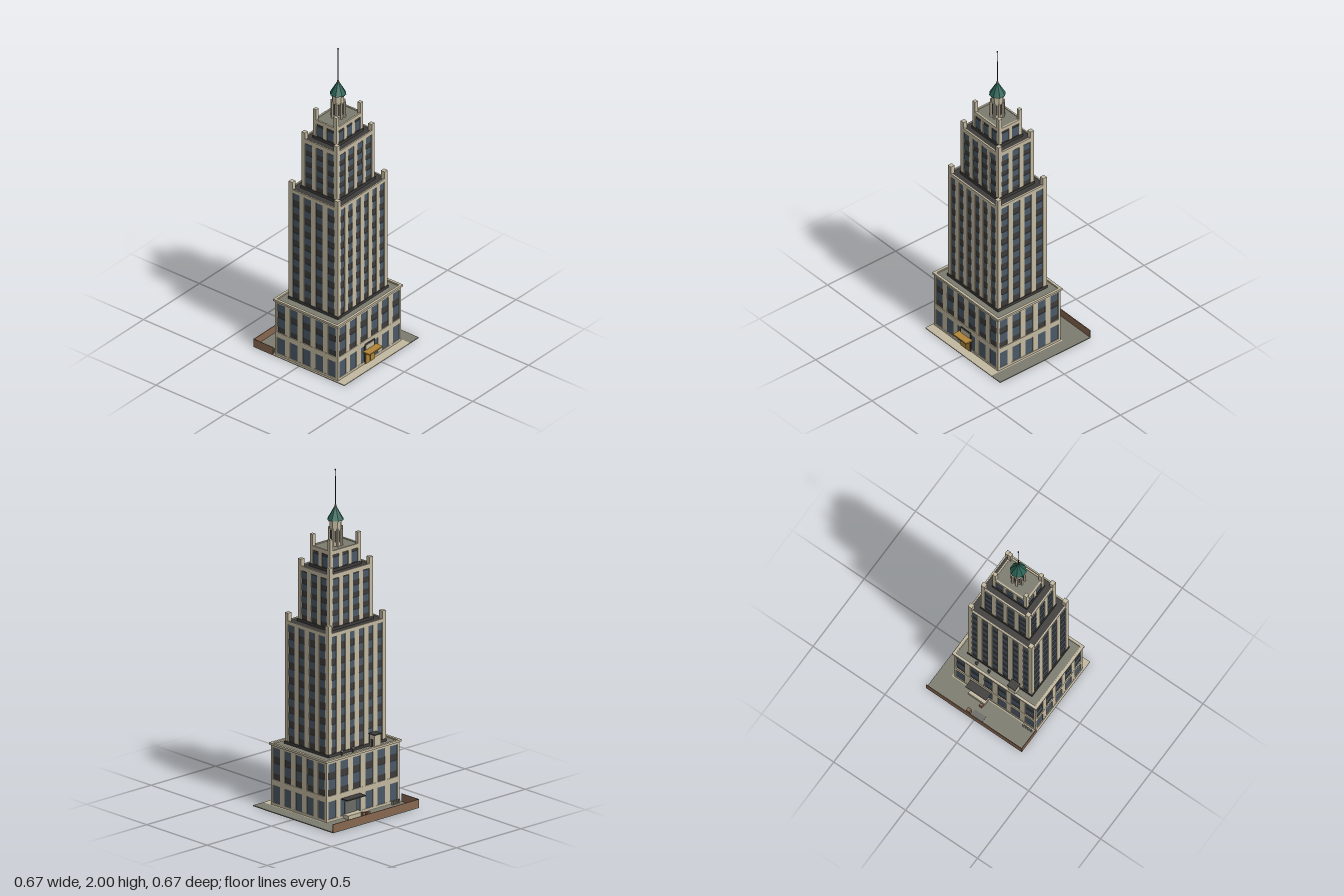
import * as THREE from 'three';
import { mergeGeometries } from 'three/addons/utils/BufferGeometryUtils.js';

const mat = (name, color) => {
  const m = new THREE.MeshStandardMaterial({ color });
  m.name = name;
  return m;
};

export function createModel() {
  const stone = mat('limestone', 0xc2b8a0);
  const dark = mat('dark spandrel', 0x3d3c3b);
  const glass = mat('window glass', 0x4a5866);
  const gravel = mat('gravel grey', 0x7c7b6f);
  const copper = mat('green copper', 0x2c6457);
  const gold = mat('gold', 0xb08537);
  const brick = mat('brick', 0x86664f);
  const steel = mat('steel grey', 0x6a6a66);

  const model = new THREE.Group();
  model.name = 'setbackTower';

  const add = (parent, name, geo, material, x = 0, y = 0, z = 0) => {
    const m = new THREE.Mesh(geo, material);
    m.name = name;
    m.position.set(x, y, z);
    parent.add(m);
    return m;
  };
  // box geometry given by its limits
  const span = (x0, x1, y0, y1, z0, z1) =>
    new THREE.BoxGeometry(x1 - x0, y1 - y0, z1 - z0)
      .translate((x0 + x1) / 2, (y0 + y1) / 2, (z0 + z1) / 2);
  const block = (parent, name, material, ...limits) => add(parent, name, span(...limits), material);
  // rectangular ring: half sizes hx, hz, wall thickness t
  const ring = (hx, hz, t, y0, y1) => mergeGeometries([
    span(-hx, hx, y0, y1, hz - t, hz), span(-hx, hx, y0, y1, -hz, -hz + t),
    span(-hx, -hx + t, y0, y1, -hz + t, hz - t), span(hx - t, hx, y0, y1, -hz + t, hz - t),
  ]);

  // ---------- ground ----------
  block(model, 'sidewalk', stone, -0.333, 0.255, 0, 0.005, -0.19, 0.333);
  block(model, 'rearAlley', gravel, -0.333, 0.333, 0, 0.005, -0.333, -0.19);
  block(model, 'sideAlley', gravel, 0.255, 0.333, 0, 0.005, -0.19, 0.333);
  block(model, 'rearWall', brick, -0.333, 0.333, 0, 0.052, -0.333, -0.329);
  block(model, 'sideWall', brick, -0.333, -0.329, 0, 0.052, -0.329, -0.19);

  // ---------- tower ----------
  const tower = new THREE.Group();
  tower.name = 'tower';
  tower.position.set(-0.0385, 0, 0.0465);
  model.add(tower);

  const R = 0.006; // window recess
  // one storey block: recessed dark core, glass rows, mullions, corner piers, parapet
  function tier(name, o) {
    const g = new THREE.Group();
    g.name = name;
    tower.add(g);
    const { hx, hz, y0, y1, pier, band } = o;
    block(g, 'spandrelCore', dark, -hx + R, hx - R, y0, y1 - band, -hz + R, hz - R);
    const panes = [], mullions = [];
    for (let s = 0; s < 4; s++) {
      const [half, dist, n] = s % 2 ? [hz, hx, o.nz] : [hx, hz, o.nx];
      const inner = 2 * (half - pier);
      const w = (inner - (n - 1) * o.mullion) / n;
      for (let i = 0; i < n; i++) {
        const x0 = -half + pier + i * (w + o.mullion);
        for (const [a, b] of o.rows)
          panes.push(span(x0, x0 + w, a, b, dist - R, dist - R + 0.002).rotateY(s * Math.PI / 2));
        if (i < n - 1)
          mullions.push(span(x0 + w, x0 + w + o.mullion, y0, y1 - band, dist - R, dist - 0.001)
            .rotateY(s * Math.PI / 2));
      }
    }
    add(g, 'windows', mergeGeometries(panes), glass);
    add(g, 'mullions', mergeGeometries(mullions), stone);
    const piers = [];
    for (const sx of [-1, 1]) for (const sz of [-1, 1])
      piers.push(new THREE.BoxGeometry(pier, o.pierTop - y0, pier)
        .translate(sx * (hx - pier / 2), (o.pierTop + y0) / 2, sz * (hz - pier / 2)));
    add(g, 'cornerPiers', mergeGeometries(piers), stone);
    add(g, 'parapet', ring(hx, hz, o.wall, y1 - band, y1), stone);
    block(g, 'roof', o.roof, -hx + o.wall, hx - o.wall, y1 - band, y1 - 0.005, -hz + o.wall, hz - o.wall);
    return g;
  }
  // evenly spaced window rows
  const rows = (y0, y1, n, fill) => Array.from({ length: n }, (_, i) => {
    const h = (y1 - y0) / n;
    return [y0 + (i + 1 - fill) * h, y0 + (i + 1) * h];
  });

  const podium = tier('podium', {
    hx: 0.284, hz: 0.23, y0: 0.005, y1: 0.372, pier: 0.016, pierTop: 0.36, band: 0.022,
    wall: 0.01, nx: 6, nz: 5, mullion: 0.037, roof: gravel,
    rows: [[0.02, 0.125], [0.195, 0.255], [0.297, 0.35]],
  });
  add(podium, 'beltCourse', ring(0.284, 0.23, 0.012, 0.125, 0.158), stone);
  add(podium, 'baseCourse', ring(0.284, 0.23, 0.012, 0.005, 0.02), stone);
  add(podium, 'cornice', ring(0.2925, 0.236, 0.016, 0.362, 0.375), stone);

  tier('lowerShaft', {
    hx: 0.2225, hz: 0.18, y0: 0.367, y1: 1.103, pier: 0.027, pierTop: 1.15, band: 0.02,
    wall: 0.009, nx: 6, nz: 4, mullion: 0.034, roof: dark, rows: rows(0.38, 1.083, 8, 0.52),
  });
  tier('middleShaft', {
    hx: 0.168, hz: 0.1305, y0: 1.098, y1: 1.432, pier: 0.026, pierTop: 1.472, band: 0.027,
    wall: 0.009, nx: 4, nz: 3, mullion: 0.03, roof: dark, rows: rows(1.11, 1.4, 4, 0.55),
  });
  tier('upperShaft', {
    hx: 0.119, hz: 0.0845, y0: 1.427, y1: 1.552, pier: 0.022, pierTop: 1.62, band: 0.025,
    wall: 0.01, nx: 3, nz: 2, mullion: 0.024, roof: gravel, rows: [[1.45, 1.51]],
  });
  // dark flashing where each shaft meets the roof below
  [[0.2225, 0.18, 0.367], [0.168, 0.1305, 1.098], [0.119, 0.0845, 1.427]].forEach(([hx, hz, y]) =>
    add(tower, 'flashing', ring(hx + 0.003, hz + 0.003, 0.006, y, y + 0.017), dark));

  // ---------- lantern and spire ----------
  const lantern = new THREE.Group();
  lantern.name = 'lantern';
  tower.add(lantern);
  const octagon = (r0, r1, y0, y1) =>
    new THREE.CylinderGeometry(r1, r0, y1 - y0, 8).toNonIndexed()
      .rotateY(Math.PI / 8).translate(0, (y0 + y1) / 2, 0);
  const flat = (geo) => { geo.computeVertexNormals(); return geo; };
  add(lantern, 'lanternDrum', flat(octagon(0.036, 0.036, 1.545, 1.695)), stone);
  add(lantern, 'lanternCap', flat(octagon(0.041, 0.041, 1.69, 1.702)), stone);
  for (let i = 0; i < 8; i++) {
    const a = i * Math.PI / 4;
    add(lantern, 'buttress', span(-0.005, 0.005, 1.545, 1.65, 0.03, 0.044).rotateY(a + Math.PI / 8), stone);
    add(lantern, 'lanternSlot', span(-0.005, 0.005, 1.57, 1.64, 0.033, 0.035).rotateY(a), dark);
  }
  add(lantern, 'copperRoof', flat(octagon(0.049, 0.004, 1.7, 1.78)), copper);
  block(lantern, 'finial', gold, -0.004, 0.004, 1.774, 1.786, -0.004, 0.004);
  add(lantern, 'mast', new THREE.CylinderGeometry(0.002, 0.003, 0.215, 8), dark, 0, 1.8875);
  add(lantern, 'mastTip', new THREE.SphereGeometry(0.005, 8, 6), dark, 0, 1.995);

  // ---------- front entrance ----------
  const entrance = new THREE.Group();
  entrance.name = 'entrance';
  model.add(entrance);
  block(entrance, 'doorFrame', dark, -0.085, 0.006, 0.005, 0.135, 0.268, 0.279);
  block(entrance, 'transom', stone, -0.077, -0.002, 0.095, 0.126, 0.279, 0.281);
  block(entrance, 'door', gold, -0.077, -0.002, 0.005, 0.088, 0.279, 0.282);
  block(entrance, 'doorSeam', dark, -0.0395, -0.0375, 0.005, 0.085, 0.282, 0.283);
  block(entrance, 'canopy', gold, -0.098, 0.02, 0.086, 0.094, 0.276, 0.325);

  // ---------- loading area ----------
  const loading = new THREE.Group();
  loading.name = 'loadingArea';
  model.add(loading);
  block(loading, 'loadingCanopy', dark, -0.014, 0.13, 0.119, 0.125, -0.234, -0.183);
  block(loading, 'loadingDock', stone, 0, 0.116, 0.005, 0.027, -0.226, -0.183);
  block(loading, 'loadingDoor', steel, 0.012, 0.104, 0.027, 0.1, -0.186, -0.182);
  block(loading, 'pavedPad', steel, -0.046, 0.03, 0.005, 0.008, -0.329, -0.28);
  block(loading, 'tallCrate', brick, 0.036, 0.059, 0.005, 0.06, -0.327, -0.304);
  block(loading, 'smallCrate', brick, 0.004, 0.023, 0.005, 0.03, -0.25, -0.234);
  for (let i = 0; i < 4; i++)
    add(loading, 'bin', new THREE.CylinderGeometry(0.006, 0.006, 0.022, 10), gravel, -0.302 + i * 0.0173, 0.016, -0.2);

  // ---------- podium roof fittings ----------
  const fittings = new THREE.Group();
  fittings.name = 'roofFittings';
  model.add(fittings);
  block(fittings, 'stairHouse', stone, -0.179, -0.128, 0.365, 0.44, -0.181, -0.139);
  block(fittings, 'stairHouseRoof', dark, -0.182, -0.125, 0.44, 0.446, -0.186, -0.136);
  block(fittings, 'stairHouseDoor', dark, -0.128, -0.126, 0.367, 0.415, -0.17, -0.15);
  for (const x of [0.018, 0.104]) {
    add(fittings, 'ventPipe', new THREE.CylinderGeometry(0.005, 0.005, 0.03, 6), steel, x, 0.38, -0.16);
    add(fittings, 'ventCap', flat(new THREE.CylinderGeometry(0.002, 0.01, 0.012, 6).toNonIndexed()), steel, x, 0.4, -0.16);
  }

  return model;
}
